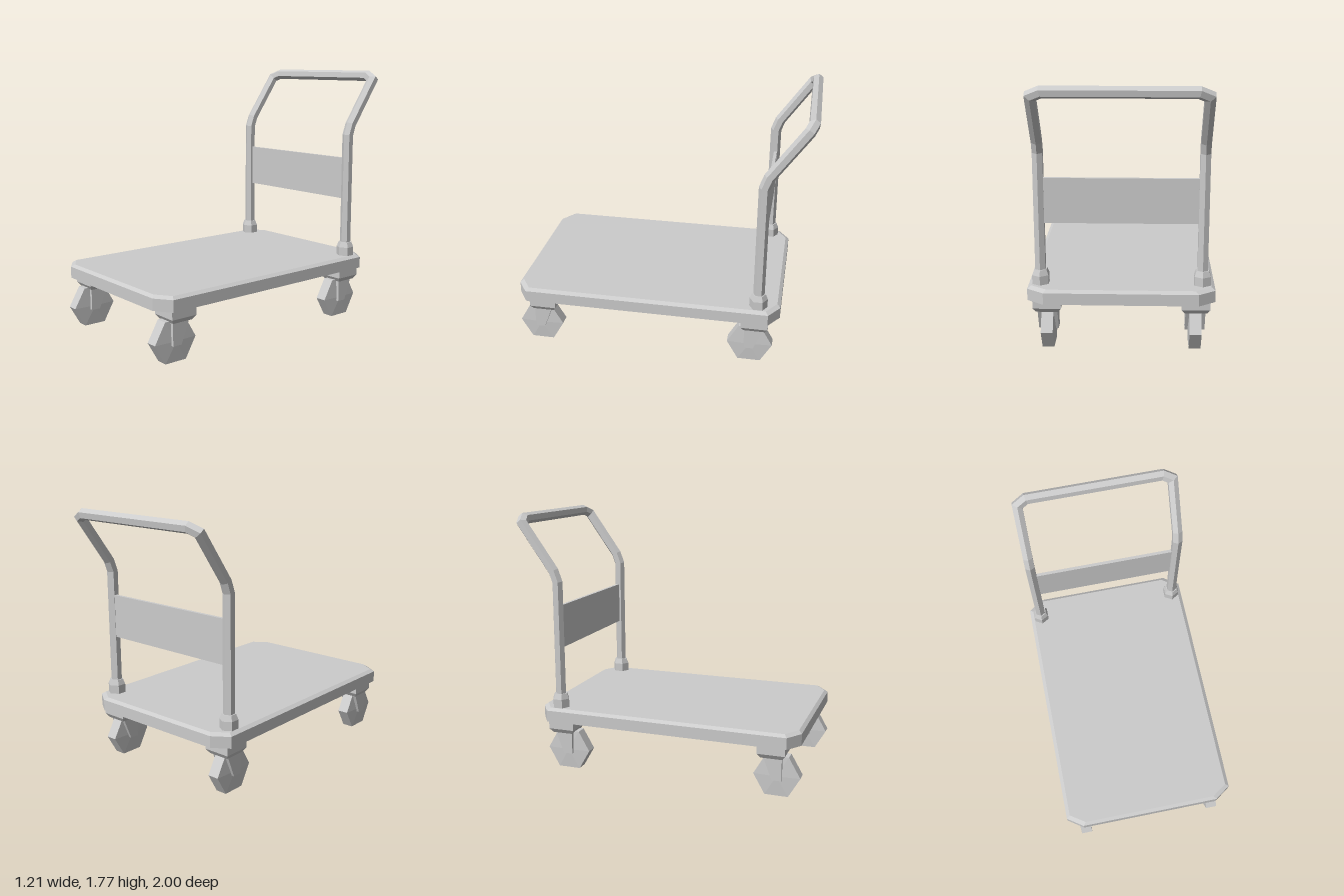
import * as THREE from 'three';

const material = new THREE.MeshStandardMaterial({ color: 0xcccccc, flatShading: true });

function addMesh(parent, name, geometry, x = 0, y = 0, z = 0) {
  const mesh = new THREE.Mesh(geometry, material);
  mesh.name = name;
  mesh.position.set(x, y, z);
  parent.add(mesh);
  return mesh;
}

// Skin closed rings of Vector3, capped at both ends
function loft(rings) {
  const pos = [];
  const tri = (...points) => points.forEach((p) => pos.push(p.x, p.y, p.z));
  const n = rings[0].length;
  const first = rings[0], last = rings[rings.length - 1];
  for (let k = 0; k < rings.length - 1; k++) {
    for (let i = 0; i < n; i++) {
      const j = (i + 1) % n, a = rings[k], b = rings[k + 1];
      tri(a[i], a[j], b[j]);
      tri(a[i], b[j], b[i]);
    }
  }
  for (let i = 1; i < n - 1; i++) {
    tri(first[0], first[i + 1], first[i]);
    tri(last[0], last[i], last[i + 1]);
  }
  const geometry = new THREE.BufferGeometry();
  geometry.setAttribute('position', new THREE.Float32BufferAttribute(pos, 3));
  geometry.computeVertexNormals();
  return geometry;
}

// Rectangle with cut corners in the horizontal plane
function cutRectangle(y, w, d, cutX, cutZ) {
  const corners = [
    [w - cutX, d], [w, d - cutZ], [w, cutZ - d], [w - cutX, -d],
    [cutX - w, -d], [-w, cutZ - d], [-w, d - cutZ], [cutX - w, d],
  ];
  return corners.map(([x, z]) => new THREE.Vector3(x, y, z));
}

// Square ring in the horizontal plane
function square(y, h) {
  return [[h, h], [h, -h], [-h, -h], [-h, h]].map(([x, z]) => new THREE.Vector3(x, y, z));
}

// Six-sided tube with mitred bends; the path starts straight up
function mitredTube(path, radius) {
  let ring = [];
  for (let i = 0; i < 6; i++) {
    const a = (i * Math.PI) / 3;
    ring.push(new THREE.Vector3(Math.sin(a) * radius, 0, Math.cos(a) * radius).add(path[0]));
  }
  const rings = [ring];
  for (let i = 1; i < path.length; i++) {
    const dir = path[i].clone().sub(path[i - 1]).normalize();
    const normal = dir.clone();
    if (i < path.length - 1) normal.add(path[i + 1].clone().sub(path[i]).normalize());
    // Slide every corner along the segment to the mitre plane
    ring = ring.map((p) => {
      const t = path[i].clone().sub(p).dot(normal) / dir.dot(normal);
      return p.clone().addScaledVector(dir, t);
    });
    rings.push(ring);
  }
  return loft(rings);
}

function createCaster() {
  const caster = new THREE.Group();
  caster.name = 'caster';

  // Mounting block, tapered underneath
  addMesh(caster, 'casterPlate', loft([square(0.26, 0.072), square(0.29, 0.092), square(0.35, 0.092)]));

  // Fork prongs either side of the wheel
  const prong = new THREE.Shape(
    [[0.067, 0.27], [-0.058, 0.27], [0.003, 0.112], [0.067, 0.112]].map(([z, y]) => new THREE.Vector2(z, y))
  );
  for (const x of [0.065, -0.041]) {
    const geometry = new THREE.ExtrudeGeometry(prong, { depth: 0.024, bevelEnabled: false });
    geometry.rotateY(-Math.PI / 2);
    addMesh(caster, 'casterFork', geometry, x);
  }

  // Six-sided wheel with slightly domed faces
  const profile = [[0, -0.048], [0.155, -0.039], [0.155, 0.039], [0, 0.048]];
  const wheel = new THREE.LatheGeometry(profile.map(([r, y]) => new THREE.Vector2(r, y)), 6);
  wheel.rotateZ(Math.PI / 2);
  addMesh(caster, 'wheel', wheel, 0, 0.1345, 0.03);
  return caster;
}

export function createModel() {
  const model = new THREE.Group();
  model.name = 'platformTrolley';

  // Deck with cut corners and a bevelled top edge
  addMesh(model, 'deck', loft([
    cutRectangle(0.35, 0.605, 0.915, 0.11, 0.075),
    cutRectangle(0.428, 0.605, 0.915, 0.11, 0.075),
    cutRectangle(0.445, 0.58, 0.893, 0.105, 0.07),
  ]), 0, 0, 0.08);

  // Casters
  for (const x of [-0.482, 0.482]) {
    for (const z of [0.815, -0.67]) {
      const caster = createCaster();
      caster.position.set(x, 0, z);
      model.add(caster);
    }
  }

  // Handle: one bent tube from socket to socket
  const half = [
    [0.523, 0.44, -0.688], [0.523, 1.315, -0.688], [0.523, 1.39, -0.715],
    [0.523, 1.702, -0.938], [0.46, 1.73, -0.962],
  ];
  const path = half.map((p) => new THREE.Vector3(...p));
  const mirrored = half.map(([x, y, z]) => new THREE.Vector3(-x, y, z)).reverse();
  addMesh(model, 'handle', mitredTube([...path, ...mirrored], 0.038));

  // Sockets at the foot of the handle
  for (const x of [-0.523, 0.523]) {
    addMesh(model, 'handleSocket', new THREE.CylinderGeometry(0.061, 0.061, 0.07, 6), x, 0.47, -0.688);
    addMesh(model, 'handleSocketTop', new THREE.CylinderGeometry(0.046, 0.061, 0.037, 6), x, 0.5235, -0.688);
  }

  // Panel between the uprights
  addMesh(model, 'panel', new THREE.BoxGeometry(1.0, 0.295, 0.022), 0, 1.003, -0.694);

  return model;
}
